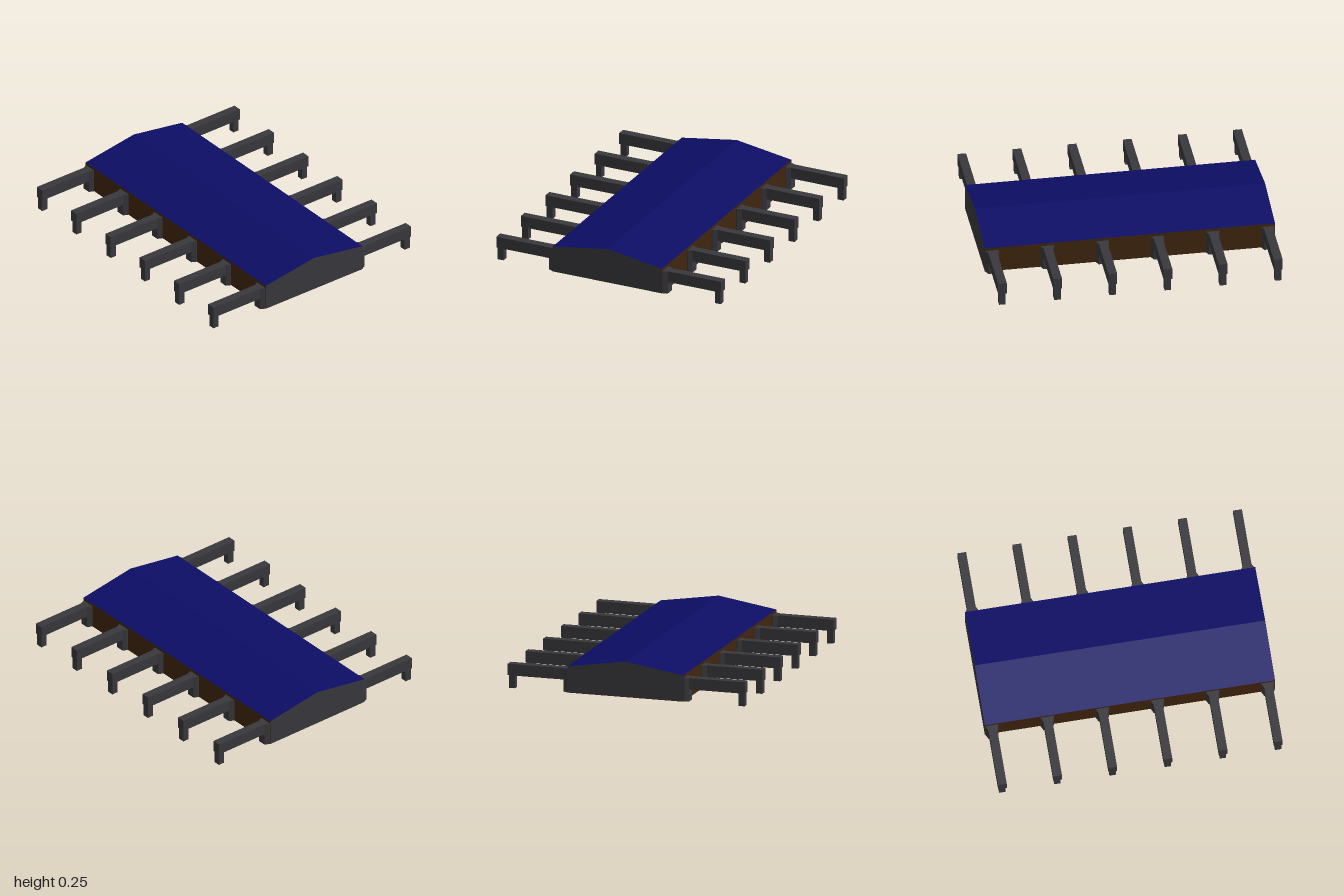
import * as THREE from 'three';

const mat = (name, color) => Object.assign(new THREE.MeshStandardMaterial({ color }), { name });

export function createModel() {
  const group = new THREE.Group();
  group.name = 'hall';
  const grey = mat('darkGrey', 0x38383d);
  const navy = mat('navy', 0x0d0d66);
  const brown = mat('brown', 0x40250f);

  const add = (name, geometry, material, parent = group) => {
    const mesh = new THREE.Mesh(geometry, material);
    mesh.name = name;
    parent.add(mesh);
    return mesh;
  };
  const box = (w, h, d, x, y, z) => new THREE.BoxGeometry(w, h, d).translate(x, y, z);

  // Gabled hall: counter-clockwise cross-section, one panel per edge
  const base = 0.006, half = 0.415;
  const profile = [[-half, base], [half, base], [half, 0.19], [0, 0.255], [-half, 0.19]];
  const panels = [['floor', navy], ['leftWall', brown], ['leftRoof', navy], ['rightRoof', navy], ['rightWall', brown]];
  panels.forEach(([name, material], i) => {
    const [ax, ay] = profile[i];
    const [bx, by] = profile[(i + 1) % profile.length];
    const g = new THREE.BufferGeometry();
    g.setAttribute('position', new THREE.Float32BufferAttribute(
      [ax, ay, 1, ax, ay, -1, bx, by, -1, bx, by, 1], 3));
    g.setIndex([0, 1, 2, 0, 2, 3]);
    g.computeVertexNormals();
    add(name, g, material);
  });

  // Gable ends
  const gable = new THREE.Shape(profile.map(([x, y]) => new THREE.Vector2(x, y)));
  add('frontGable', new THREE.ShapeGeometry(gable), grey).position.z = 1;
  const back = add('backGable', new THREE.ShapeGeometry(gable), grey);
  back.position.z = -1;
  back.rotation.y = Math.PI;

  // Thin seam along the underside
  add('floorSeam', box(0.01, 0.003, 0.85, 0, base - 0.001, 0.57), grey);

  // Flared pier plan, extruded upwards
  const pierPlan = new THREE.Shape([[0.4, -0.045], [0.42, -0.045], [0.45, -0.03], [0.45, 0.03], [0.42, 0.045], [0.4, 0.045]]
    .map(([x, y]) => new THREE.Vector2(x, y)));
  const pierGeometry = new THREE.ExtrudeGeometry(pierPlan, { depth: 0.164, bevelEnabled: false })
    .rotateX(-Math.PI / 2).translate(0, base, 0);
  const armGeometry = box(0.41, 0.08, 0.06, 0.645, 0.13, 0);
  const legGeometry = box(0.045, 0.092, 0.045, 0.822, 0.046, 0);

  // Six buttresses on each side
  for (const side of [1, -1]) {
    for (let i = 0; i < 6; i++) {
      const buttress = new THREE.Group();
      buttress.name = side > 0 ? 'leftButtress' : 'rightButtress';
      buttress.position.z = -0.95 + i * 0.38;
      buttress.rotation.y = side > 0 ? 0 : Math.PI;
      add('pier', pierGeometry, grey, buttress);
      add('arm', armGeometry, grey, buttress);
      add('leg', legGeometry, grey, buttress);
      group.add(buttress);
    }
  }
  return group;
}
